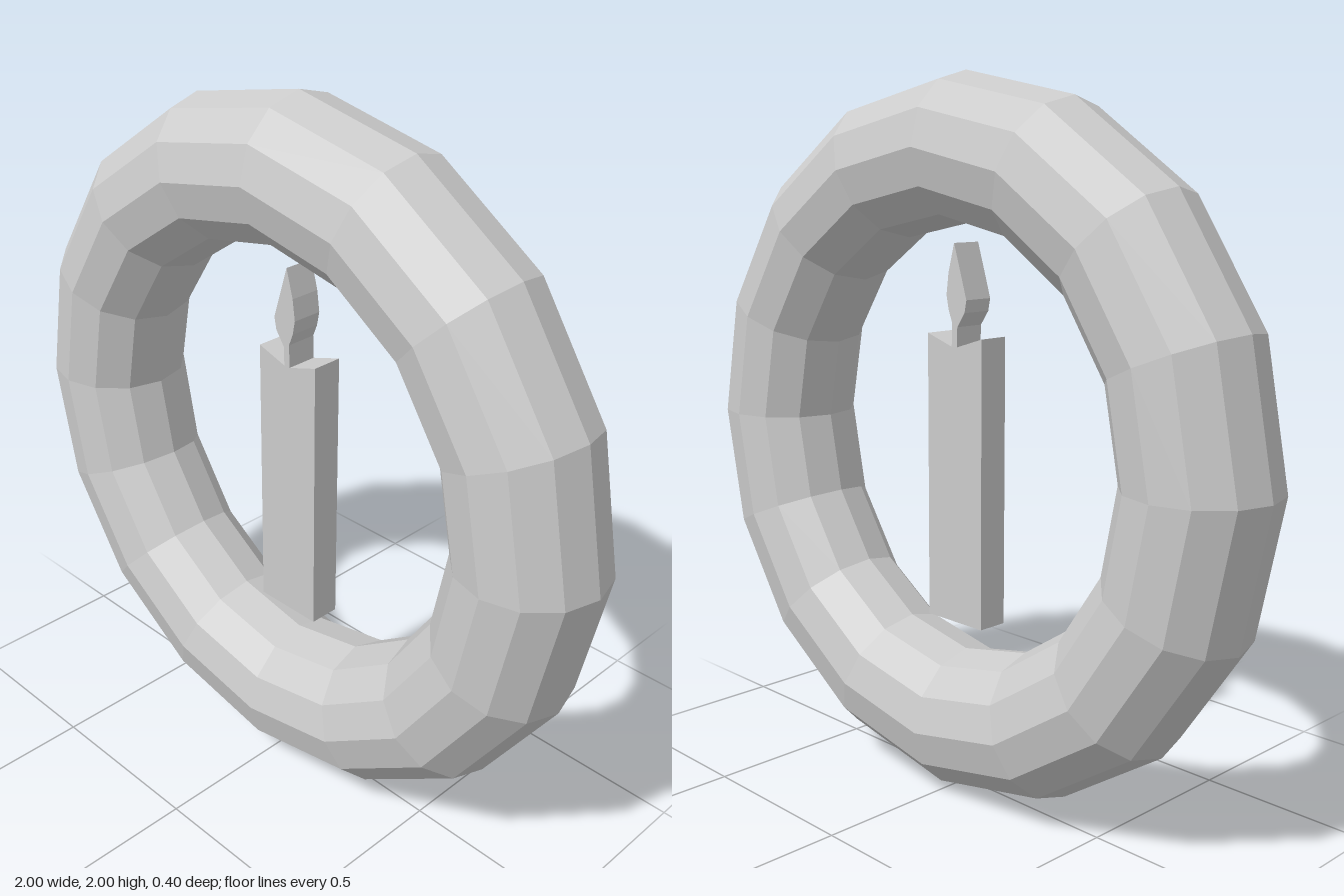
import * as THREE from 'three';

export function createModel() {
  const group = new THREE.Group();
  const material = new THREE.MeshStandardMaterial({ color: 0xcccccc, flatShading: true });

  // Faceted upright ring
  const ring = new THREE.Mesh(new THREE.TorusGeometry(0.8, 0.2, 12, 16), material);
  ring.name = 'ring';
  ring.position.y = 1;
  group.add(ring);

  // Extrudes an outline symmetrically about z = 0
  const depth = 0.09;
  function slab(name, points) {
    const shape = new THREE.Shape(points.map(([x, y]) => new THREE.Vector2(x, y)));
    const geometry = new THREE.ExtrudeGeometry(shape, { depth, bevelEnabled: false });
    geometry.translate(0, 0, -depth / 2);
    const mesh = new THREE.Mesh(geometry, material);
    mesh.name = name;
    group.add(mesh);
  }

  // Candle body with a shallow V-shaped top
  slab('candleBody', [
    [-0.105, 0.49], [0.105, 0.49], [0.105, 1.3],
    [0.01, 1.27], [-0.01, 1.27], [-0.105, 1.3],
  ]);

  // Narrow wick flowing into a pointed flame
  slab('wickAndFlame', [
    [-0.01, 1.27], [0.01, 1.27], [0.008, 1.335], [0.022, 1.37], [0.03, 1.41],
    [0.022, 1.47], [0, 1.55], [-0.03, 1.455], [-0.047, 1.4], [-0.04, 1.365],
    [-0.012, 1.325],
  ]);

  return group;
}
